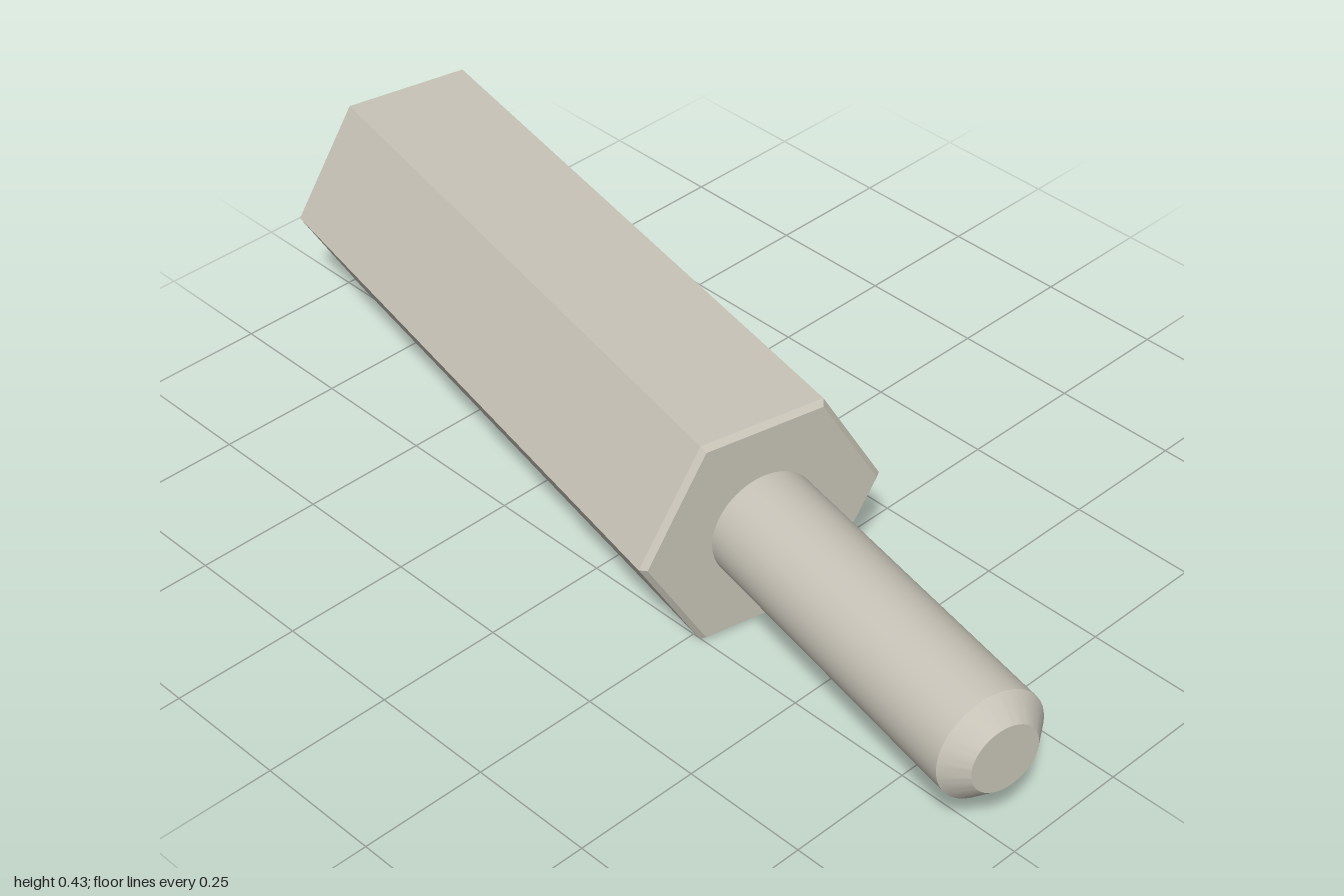
import * as THREE from 'three';
import { toCreasedNormals } from 'three/addons/utils/BufferGeometryUtils.js';

const APOTHEM = 0.216, R = APOTHEM / Math.cos(Math.PI / 6); // hexagon size
const HALF = 0.64, CH = 0.01;                               // half body length, edge chamfer
const R_END = (APOTHEM - CH) / Math.cos(Math.PI / 6);       // hexagon of the end faces

export function createModel() {
  const metal = new THREE.MeshStandardMaterial({ color: 0xc8c4b8 });
  const model = new THREE.Group();
  model.name = 'hexStandoff';
  const add = (geometry, name) => {
    const mesh = new THREE.Mesh(geometry, metal);
    mesh.name = name;
    model.add(mesh);
  };

  // Six-sided sleeve: flat faces between two hexagon sizes
  const hexSleeve = (rTop, rBottom, height, y) => {
    const g = new THREE.CylinderGeometry(rTop, rBottom, height, 6, 1, true).toNonIndexed();
    g.computeVertexNormals();
    return g.translate(0, y, 0);
  };
  add(hexSleeve(R, R, 2 * (HALF - CH), 0), 'hexBody');
  add(hexSleeve(R_END, R, CH, HALF - CH / 2), 'frontChamfer');
  add(hexSleeve(R, R_END, CH, CH / 2 - HALF), 'backChamfer');

  // End faces; the back one is opened for the bore
  const hexFace = (holeRadius) => {
    const pts = [];
    for (let i = 0; i < 6; i++) {
      const a = Math.PI / 2 + i * Math.PI / 3;
      pts.push(new THREE.Vector2(R_END * Math.cos(a), R_END * Math.sin(a)));
    }
    const shape = new THREE.Shape(pts);
    if (holeRadius) shape.holes.push(new THREE.Path().absarc(0, 0, holeRadius, 0, Math.PI * 2, true));
    return new THREE.ShapeGeometry(shape, 32);
  };
  add(hexFace(0).rotateX(-Math.PI / 2).translate(0, HALF, 0), 'frontFace');
  add(hexFace(0.13).rotateX(Math.PI / 2).translate(0, -HALF, 0), 'backFace');

  // Turned parts: bevelled stud, and countersunk blind bore facing inwards
  const turned = (points) => toCreasedNormals(
    new THREE.LatheGeometry(points.map(([x, y]) => new THREE.Vector2(x, y)), 64), 0.5);
  add(turned([[0.107, HALF], [0.107, 1.297], [0.067, 1.337], [0, 1.337]]), 'stud');
  add(turned([[0, 0.11], [0.09, 0.06], [0.09, -0.6], [0.13, -HALF]]), 'bore');

  // Lay the axis down and swing it slightly towards the front
  model.rotation.set(0, -0.2075, -Math.PI / 2);
  model.position.set(-0.322, APOTHEM, 0);
  const root = new THREE.Group();
  root.add(model);
  return root;
}
